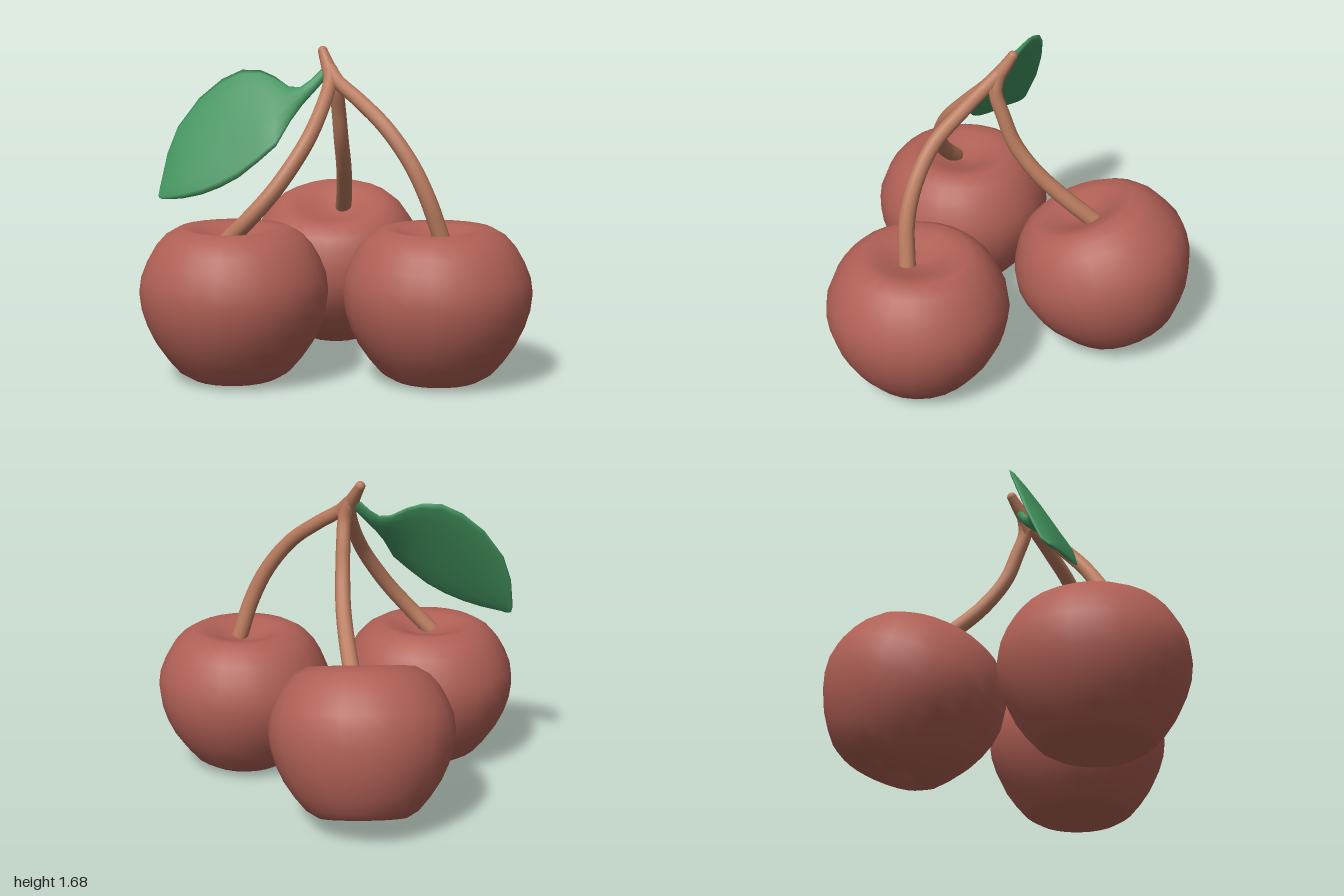
import * as THREE from 'three';

const mat = (name, color) => Object.assign(new THREE.MeshStandardMaterial({ color }), { name });
const V = (p) => new THREE.Vector3(...p);

// Tube through points whose radius runs from r0 to r1
function taperedTube(points, r0, r1, segments = 24, sides = 12) {
  const curve = new THREE.CatmullRomCurve3(points.map(V));
  const geo = new THREE.TubeGeometry(curve, segments, 1, sides);
  const pos = geo.attributes.position;
  const v = new THREE.Vector3();
  for (let i = 0; i < pos.count; i++) {
    const u = Math.floor(i / (sides + 1)) / segments;
    const c = curve.getPointAt(u);
    v.fromBufferAttribute(pos, i).sub(c).multiplyScalar(r0 + (r1 - r0) * u).add(c);
    pos.setXYZ(i, v.x, v.y, v.z);
  }
  return geo;
}

// Fruit body: lathe centred on its own middle, with a top hollow and a nub below
function cherryGeometry() {
  const profile = [
    [0, 0.03], [0.04, 0.036], [0.07, 0.06], [0.11, 0.05], [0.165, 0.018], [0.23, 0.014],
    [0.29, 0.05], [0.35, 0.12], [0.405, 0.2], [0.445, 0.285], [0.472, 0.37], [0.483, 0.46],
    [0.472, 0.54], [0.44, 0.62], [0.4, 0.69], [0.35, 0.745], [0.28, 0.785], [0.21, 0.775],
    [0.14, 0.75], [0.07, 0.725], [0, 0.715],
  ].map(([r, y]) => new THREE.Vector2(r, y - 0.4));
  return new THREE.LatheGeometry(profile, 24);
}

// Leaf: lens-shaped rings lofted between the upper and lower edge
function leafGeometry() {
  // upper x, y, z, lower x, y, z, half thickness
  const rows = [
    [-0.1, 1.58, 0.08, -0.08, 1.53, 0.11, 0.022],
    [-0.17, 1.51, 0.11, -0.14, 1.46, 0.14, 0.022],
    [-0.22, 1.475, 0.135, -0.2, 1.39, 0.19, 0.024],
    [-0.28, 1.48, 0.14, -0.25, 1.31, 0.27, 0.025],
    [-0.36, 1.53, 0.1, -0.31, 1.19, 0.375, 0.026],
    [-0.44, 1.56, 0.07, -0.4, 1.11, 0.385, 0.027],
    [-0.54, 1.56, 0.055, -0.5, 1.03, 0.39, 0.027],
    [-0.65, 1.51, 0.05, -0.6, 0.975, 0.38, 0.026],
    [-0.77, 1.41, 0.065, -0.7, 0.935, 0.365, 0.025],
    [-0.88, 1.26, 0.1, -0.8, 0.91, 0.335, 0.023],
    [-0.93, 1.12, 0.14, -0.87, 0.9, 0.31, 0.02],
    [-0.955, 0.95, 0.21, -0.93, 0.895, 0.275, 0.014],
    [-0.955, 0.91, 0.25, -0.95, 0.9, 0.26, 0.004],
  ];
  const sides = 14;
  const n = V([-0.07, 0.54, 0.84]).normalize();
  const positions = [];
  const index = [];
  rows.forEach((r, i) => {
    const a = V(r.slice(0, 3));
    const b = V(r.slice(3, 6));
    const mid = a.clone().add(b).multiplyScalar(0.5);
    const half = a.clone().sub(mid);
    for (let j = 0; j < sides; j++) {
      const t = (j / sides) * Math.PI * 2;
      const p = mid.clone().addScaledVector(half, Math.cos(t)).addScaledVector(n, Math.sin(t) * r[6]);
      positions.push(p.x, p.y, p.z);
      if (i === rows.length - 1) continue;
      const p0 = i * sides + j;
      const p1 = i * sides + ((j + 1) % sides);
      index.push(p0, p0 + sides, p1, p1, p0 + sides, p1 + sides);
    }
  });
  // Close both ends
  const last = (rows.length - 1) * sides;
  for (let j = 1; j < sides - 1; j++) {
    index.push(0, j, j + 1, last, last + j + 1, last + j);
  }
  const geo = new THREE.BufferGeometry();
  geo.setAttribute('position', new THREE.Float32BufferAttribute(positions, 3));
  geo.setIndex(index);
  geo.computeVertexNormals();
  return geo;
}

export function createModel() {
  const model = new THREE.Group();
  model.name = 'cherries';
  const red = mat('cherry red', 0xb06055);
  const brown = mat('stem brown', 0xb97b5e);
  const green = mat('leaf green', 0x43945f);
  const add = (name, geo, material) => {
    const mesh = new THREE.Mesh(geo, material);
    mesh.name = name;
    model.add(mesh);
    return mesh;
  };

  // Three fruits, the back one tipped forward
  const fruit = cherryGeometry();
  [
    ['rightCherry', [-0.515, 0.4, 0.462], 0],
    ['leftCherry', [0.517, 0.4, 0.38], 0],
    ['backCherry', [-0.105, 0.445, -0.48], 0.36],
  ].forEach(([name, p, tilt]) => {
    const cherry = add(name, fruit, red);
    cherry.position.set(...p);
    cherry.rotation.x = tilt;
  });

  // Stems spread from one knot
  const knot = [-0.065, 1.57, 0.105];
  const stems = {
    rightStem: [knot, [-0.06, 1.5, 0.165], [-0.085, 1.38, 0.28], [-0.15, 1.21, 0.42], [-0.29, 0.99, 0.52], [-0.42, 0.84, 0.54], [-0.54, 0.72, 0.51]],
    leftStem: [knot, [-0.02, 1.51, 0.16], [0.1, 1.42, 0.25], [0.25, 1.29, 0.36], [0.38, 1.12, 0.42], [0.47, 0.94, 0.44], [0.545, 0.72, 0.42]],
    backStem: [knot, [-0.035, 1.48, 0.115], [-0.025, 1.35, 0.07], [-0.02, 1.2, 0.01], [-0.02, 1.04, -0.11], [-0.035, 0.9, -0.26], [-0.06, 0.76, -0.43]],
  };
  for (const [name, path] of Object.entries(stems)) {
    add(name, taperedTube(path, 0.036, 0.045), brown);
  }

  // Short trunk above the knot with a rounded tip
  add('stemTop', taperedTube([[-0.112, 1.66, 0.045], [-0.09, 1.61, 0.075], [-0.06, 1.54, 0.12], [-0.04, 1.48, 0.145]], 0.026, 0.05, 10), brown);
  add('stemTip', new THREE.SphereGeometry(0.027, 12, 8), brown).position.set(-0.112, 1.66, 0.045);

  add('leaf', leafGeometry(), green);
  return model;
}
